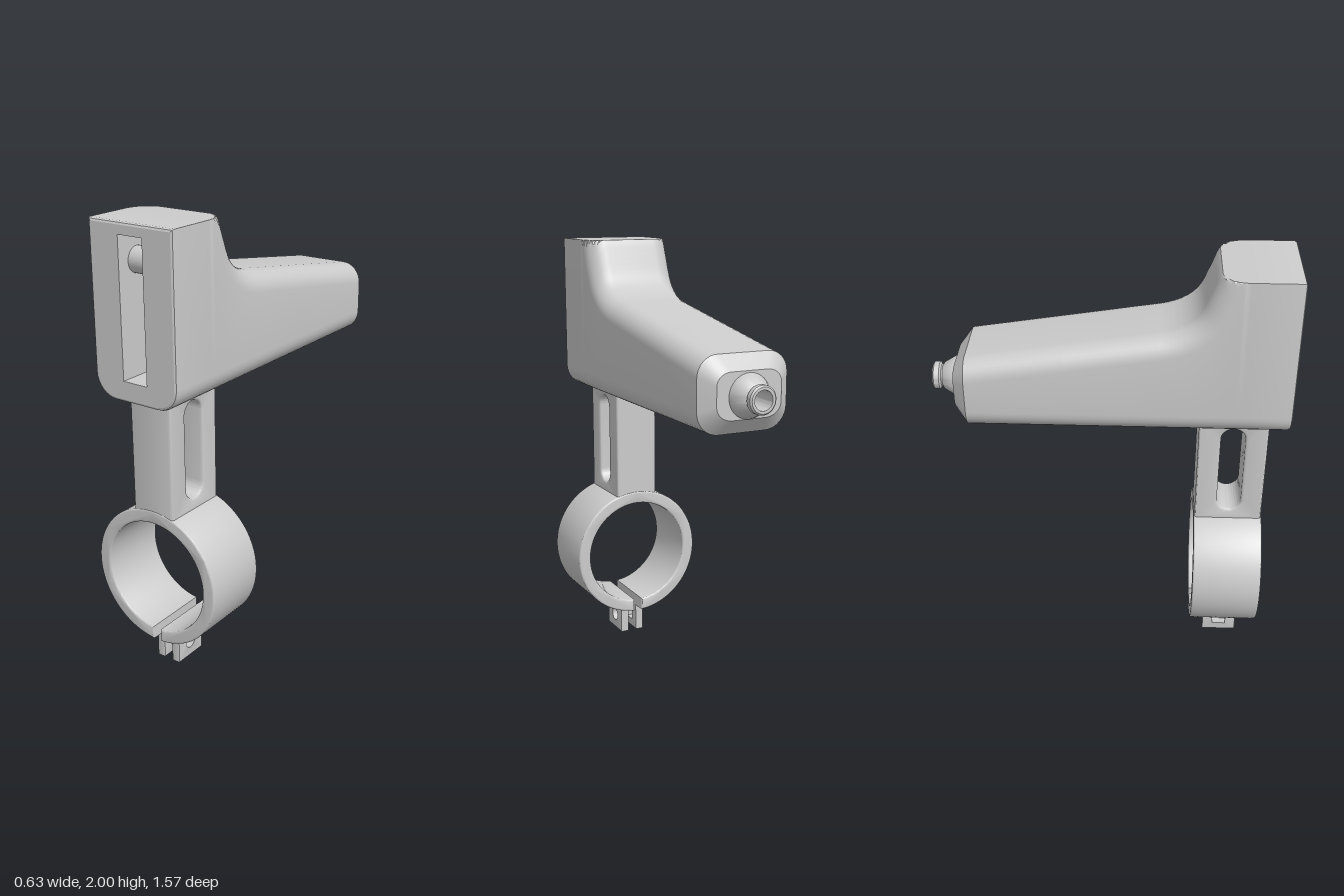
import * as THREE from 'three';
import { toCreasedNormals } from 'three/addons/utils/BufferGeometryUtils.js';

const material = new THREE.MeshStandardMaterial({ color: 0xcccccc, side: THREE.DoubleSide });
const W = 0.21, BOTTOM = 1.27, TOP = 2, FRONT = 0.78, HOLE_Y = 1.43;

function mesh(name, geometry, crease = 0.55) {
  const m = new THREE.Mesh(toCreasedNormals(geometry, crease), material);
  m.name = name;
  return m;
}

// Skin through rings of equal point count, running towards -z
function loft(rings) {
  const n = rings[0].length, index = [];
  for (let i = 0; i < rings.length - 1; i++) {
    for (let j = 0; j < n; j++) {
      const a = i * n + j, b = i * n + (j + 1) % n;
      index.push(a, a + n, b, b, a + n, b + n);
    }
  }
  const g = new THREE.BufferGeometry();
  g.setAttribute('position', new THREE.Float32BufferAttribute(rings.flat(2), 3));
  g.setIndex(index);
  return g;
}

function rectPath(x0, y0, x1, y1) {
  return new THREE.Path([[x0, y0], [x0, y1], [x1, y1], [x1, y0]].map(p => new THREE.Vector2(...p)));
}

function circlePath(x, y, r, sides = 32) {
  const pts = [];
  for (let i = 0; i < sides; i++) {
    const a = -i / sides * Math.PI * 2;
    pts.push(new THREE.Vector2(x + r * Math.cos(a), y + r * Math.sin(a)));
  }
  return new THREE.Path(pts);
}

function cap(points, hole) {
  const s = new THREE.Shape(points.map(p => new THREE.Vector2(p[0], p[1])));
  s.holes.push(hole);
  return new THREE.ShapeGeometry(s);
}

// Centred extrusion with small rounded edges that keep the outline's size
function slab(shape, depth, bevel) {
  const g = new THREE.ExtrudeGeometry(shape, {
    depth: depth - 2 * bevel, bevelThickness: bevel, bevelSize: bevel,
    bevelOffset: -bevel, bevelSegments: 3, curveSegments: 48,
  });
  return g.translate(0, 0, bevel - depth / 2);
}

// Upper outline of the body: steep head, concave bend, sloping arm
function outline(z) {
  if (z > 0.39) return 1.86 + (z - 0.39) * 2.55;
  if (z < 0.2) return 1.73 + (z - 0.2) * 0.16;
  const t = (0.296 - Math.sqrt(Math.max(0, 0.296 ** 2 - 0.424 * (z - 0.2)))) / 0.212;
  return 1.73 * (1 - t) ** 2 + 2 * 1.754 * t * (1 - t) + 1.86 * t * t;
}

// Outline moved inward by d, used to round the long upper edges
function insetOutline(z, d) {
  let y = Infinity;
  for (let i = -24; i <= 24; i++) {
    const s = d * i / 24;
    y = Math.min(y, outline(z + s) - Math.sqrt(d * d - s * s));
  }
  return Math.min(y, TOP);
}

function section(z) {
  const half = [], N = 8, rb = 0.1, rt = 0.09;
  for (let i = 0; i <= N; i++) {
    const a = i / N * Math.PI / 2;
    half.push([W - rb + rb * Math.sin(a), BOTTOM + rb * (1 - Math.cos(a)), z]);
  }
  for (let i = N; i >= 0; i--) {
    const a = i / N * Math.PI / 2;
    half.push([W - rt + rt * Math.sin(a), insetOutline(z, rt * (1 - Math.cos(a))), z]);
  }
  return [...half, ...half.slice().reverse().map(([x, y, zz]) => [-x, y, zz])];
}

function scaled(ring, z, sx, sy, cy) {
  return ring.map(([x, y]) => [x * sx, cy + (y - cy) * sy, z]);
}

function buildBody() {
  const g = new THREE.Group();
  g.name = 'body';
  const rings = [scaled(section(FRONT), FRONT, 0.94, 0.967, 1.635)];
  rings.push(scaled(section(FRONT), FRONT - 0.004, 0.98, 0.989, 1.635), section(FRONT - 0.014));
  for (let z = 0.57; z > 0.19; z -= 0.01) rings.push(section(z));
  rings.push(section(-0.2), section(-0.62));
  rings.push(scaled(section(-0.62), -0.675, 0.714, 0.6, 1.435));
  g.add(mesh('housing', loft(rings)));

  // Front face with the tall slot, back face with the outlet
  g.add(mesh('frontFace', cap(rings[0], rectPath(-0.06, 1.36, 0.06, 1.95)).translate(0, 0, FRONT)));
  g.add(mesh('backFace', cap(rings.at(-1), circlePath(0, HOLE_Y, 0.06)).rotateY(Math.PI).translate(0, 0, -0.675)));

  // Inner channel narrowing towards the outlet
  const ceiling = [[FRONT, 1.95], [0.56, 1.95], [0.45, 1.72], [0.25, 1.63], [0, 1.59], [-0.55, 1.52]];
  const inner = ceiling.map(([z, y]) => [[-0.06, 1.36, z], [-0.06, y, z], [0.06, y, z], [0.06, 1.36, z]]);
  g.add(mesh('channel', loft(inner)));
  g.add(mesh('channelEnd', cap(inner.at(-1), circlePath(0, HOLE_Y, 0.042)).translate(0, 0, -0.55)));

  // Pin across the top of the slot
  const pin = mesh('pin', new THREE.CylinderGeometry(0.055, 0.055, 0.13, 32).rotateZ(Math.PI / 2));
  pin.position.set(0, 1.835, 0.67);
  g.add(pin);

  // Hollow outlet nozzle
  const profile = [[0.095, 0.67], [0.095, 0.675], [0.06, 0.735], [0.05, 0.742], [0.05, 0.748], [0.061, 0.755],
    [0.061, 0.778], [0.054, 0.785], [0.042, 0.785], [0.042, 0.55]].map(p => new THREE.Vector2(...p));
  const nozzle = mesh('nozzle', new THREE.LatheGeometry(profile, 40).rotateX(-Math.PI / 2));
  nozzle.position.y = HOLE_Y;
  g.add(nozzle);
  return g;
}

function buildStem() {
  const s = new THREE.Shape(rectPath(-0.155, 0.735, 0.155, 1.28).getPoints());
  const hole = new THREE.Path();
  hole.absarc(0, 1.185, 0.055, 0, Math.PI, false);
  hole.absarc(0, 0.855, 0.055, Math.PI, Math.PI * 2, false);
  s.holes.push(hole);
  const stem = mesh('stem', slab(s, 0.21, 0.012).rotateY(Math.PI / 2));
  stem.position.z = 0.545;
  return stem;
}

function buildClamp() {
  const g = new THREE.Group();
  g.name = 'clamp';
  g.position.z = 0.545;

  // Split ring, open at the bottom
  const R = 0.317, r = 0.257, gap = 0.02, down = -Math.PI / 2;
  const aOut = Math.asin(gap / R), aIn = Math.asin(gap / r);
  const s = new THREE.Shape();
  s.absarc(0, 0, R, down + aOut, down + 2 * Math.PI - aOut, false);
  s.absarc(0, 0, r, down + 2 * Math.PI - aIn, down + aIn, true);
  const ring = mesh('clampRing', slab(s, 0.315, 0.008));
  ring.position.y = 0.452;
  g.add(ring);

  // Pair of bolt tabs, one bored round and one with a square nut seat
  for (const side of [1, -1]) {
    const t = new THREE.Shape(rectPath(-0.082, 0, 0.082, 0.196).getPoints());
    t.holes.push(side > 0 ? circlePath(0, 0.07, 0.034, 16) : rectPath(-0.035, 0.035, 0.035, 0.105));
    const tab = mesh(side > 0 ? 'leftTab' : 'rightTab', slab(t, 0.04, 0.003).rotateY(Math.PI / 2));
    tab.position.x = side * 0.041;
    g.add(tab);
  }
  return g;
}

export function createModel() {
  const model = new THREE.Group();
  model.name = 'clampMountedHousing';
  model.add(buildBody(), buildStem(), buildClamp());
  return model;
}
